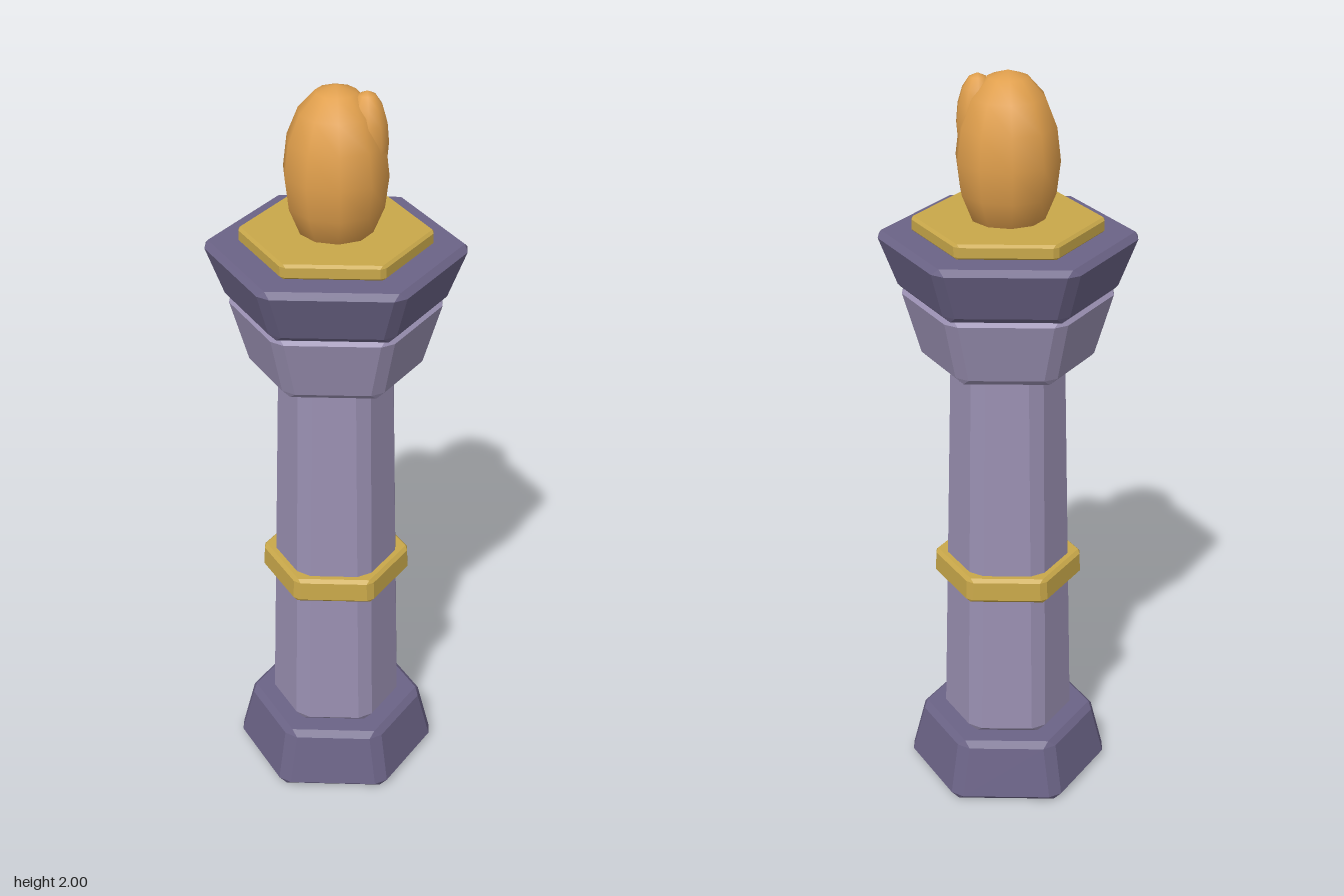
import * as THREE from 'three';

const material = (name, color) => {
  const m = new THREE.MeshStandardMaterial({ color });
  m.name = name;
  return m;
};

// Six corner points of a hexagon ring (flats facing +-x), each corner cut to a half-width of `cut`
function hexRing(y, apothem, cut) {
  const depth = apothem / Math.cos(Math.PI / 6) - cut / Math.sqrt(3);
  const ring = [];
  for (let i = 0; i < 6; i++) {
    const t = Math.PI / 6 + (i * Math.PI) / 3;
    const c = Math.cos(t), s = Math.sin(t);
    for (const k of [-cut, cut]) ring.push(new THREE.Vector3(depth * c - k * s, y, depth * s + k * c));
  }
  return ring;
}

// Tapered hexagonal block with bevelled edges, faceted
function hexBlock(name, mat, y0, a0, y1, a1, bevel) {
  const rings = [
    hexRing(y0, a0 - bevel, 0),
    hexRing(y0 + bevel, a0, bevel * 1.2),
    hexRing(y1 - bevel, a1, bevel * 1.2),
    hexRing(y1, a1 - bevel, 0),
  ];
  const points = [];
  const tri = (a, b, c) => {
    if (new THREE.Triangle(a, b, c).getArea() > 1e-9) points.push(a, b, c);
  };
  const bottom = new THREE.Vector3(0, y0, 0), top = new THREE.Vector3(0, y1, 0);
  for (let i = 0; i < 12; i++) {
    const j = (i + 1) % 12;
    for (let r = 0; r < 3; r++) {
      const lo = rings[r], hi = rings[r + 1];
      tri(lo[i], hi[i], lo[j]);
      tri(lo[j], hi[i], hi[j]);
    }
    tri(bottom, rings[0][i], rings[0][j]);
    tri(top, rings[3][j], rings[3][i]);
  }
  const geo = new THREE.BufferGeometry().setFromPoints(points);
  geo.computeVertexNormals();
  const mesh = new THREE.Mesh(geo, mat);
  mesh.name = name;
  return mesh;
}

// Smooth low-poly ellipsoid with a vertex line on +-z
function ellipsoid(name, mat, position, radii) {
  const geo = new THREE.SphereGeometry(1, 10, 8).rotateY(Math.PI / 2).scale(...radii);
  const mesh = new THREE.Mesh(geo, mat);
  mesh.position.set(...position);
  mesh.name = name;
  return mesh;
}

export function createModel() {
  const darkStone = material('dark stone', 0x6b6386);
  const paleStone = material('pale stone', 0x9a90b2);
  const gold = material('gold', 0xc9a84a);
  const amber = material('amber', 0xe09f4c);

  const group = new THREE.Group();
  group.name = 'pillar';
  group.add(
    // Column, from the ground up
    hexBlock('base', darkStone, 0, 0.245, 0.172, 0.215, 0.016),
    hexBlock('shaft', paleStone, 0.17, 0.163, 1.25, 0.14, 0.018),
    hexBlock('shaftBand', gold, 0.6, 0.177, 0.67, 0.175, 0.009),
    hexBlock('capital', paleStone, 1.247, 0.203, 1.44, 0.244, 0.016),
    hexBlock('topSlab', darkStone, 1.435, 0.252, 1.588, 0.293, 0.015),
    hexBlock('topPlate', gold, 1.586, 0.214, 1.626, 0.214, 0.007),
    // Flame with a small side lobe
    ellipsoid('flame', amber, [0, 1.78, 0], [0.134, 0.22, 0.134]),
    ellipsoid('flameLobe', amber, [0.07, 1.865, -0.028], [0.055, 0.125, 0.055]),
  );
  return group;
}
